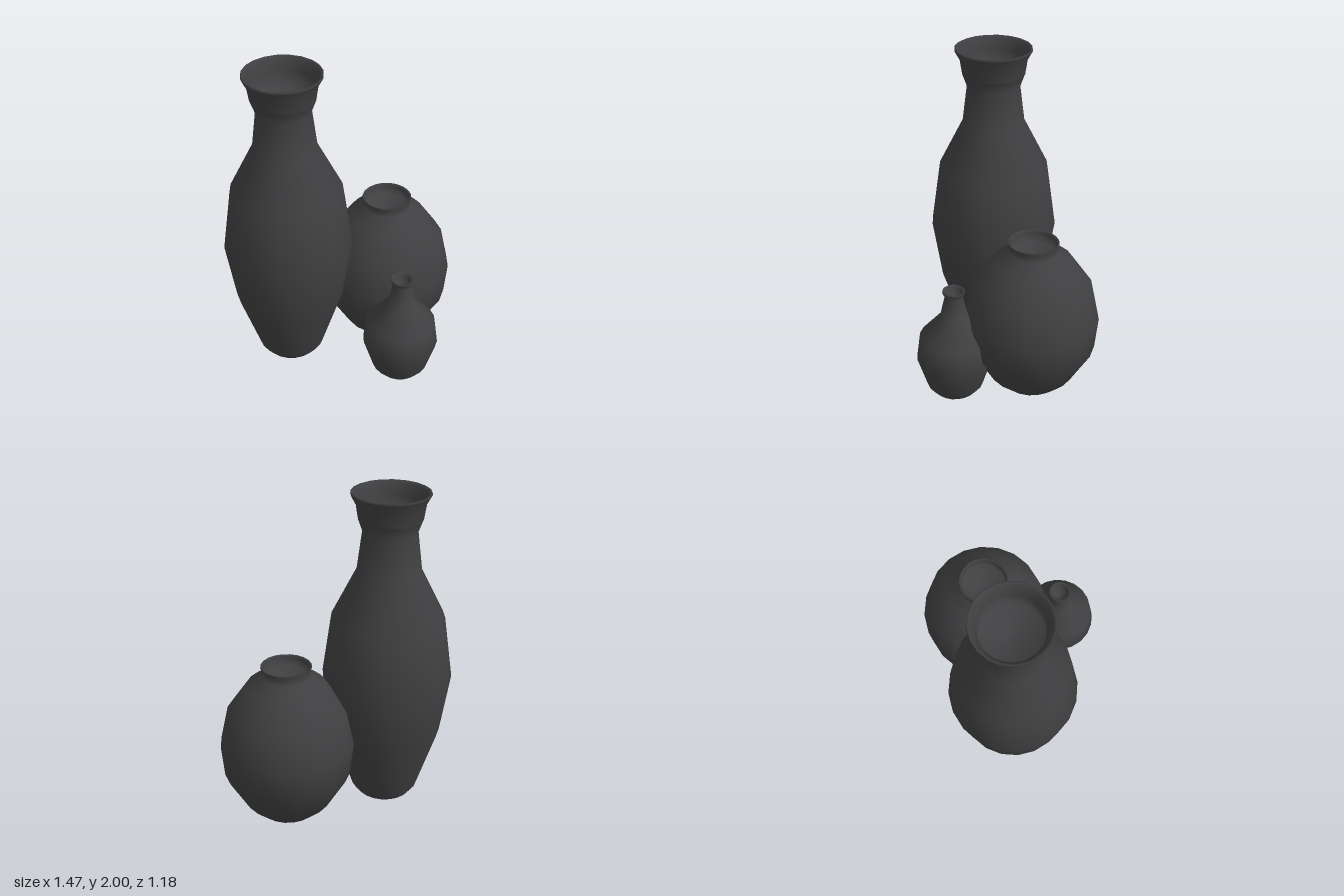
import * as THREE from 'three';

const SIDES = 20;
const material = new THREE.MeshStandardMaterial({ color: 0x404042, side: THREE.DoubleSide });

// Thin-walled vase, open underneath: outer wall from foot to lip, then the cup
// inside the mouth. Rows are [radius, height]; a repeated row makes a crisp edge.
function makeVase(name, x, z, outer, cup) {
  const profile = [...outer, ...cup].map(([r, y]) => new THREE.Vector2(r, y));
  const vase = new THREE.Mesh(new THREE.LatheGeometry(profile, SIDES), material);
  vase.name = name;
  vase.position.set(x, 0, z);
  return vase;
}

export function createModel() {
  const group = new THREE.Group();
  group.name = 'vaseSet';

  // Tall vase with a flared collar and rolled lip
  group.add(makeVase('tallVase', -0.335, -0.19, [
    [0.168, 0], [0.208, 0.05], [0.34, 0.45], [0.4, 0.83], [0.345, 1.22],
    [0.195, 1.52], [0.165, 1.76], [0.19, 1.83], [0.19, 1.83],
    [0.194, 1.84], [0.208, 1.93], [0.238, 1.985], [0.238, 1.997],
  ], [
    [0.232, 2.0], [0.218, 1.985], [0.19, 1.92], [0.18, 1.82], [0, 1.79],
  ]));

  // Round vase with a short neck
  group.add(makeVase('roundVase', 0.324, -0.11, [
    [0.175, 0], [0.265, 0.08], [0.39, 0.29], [0.41, 0.49], [0.365, 0.7],
    [0.24, 0.88], [0.15, 0.94], [0.15, 0.985], [0.155, 1.0],
  ], [
    [0.15, 1.005], [0.139, 0.99], [0.137, 0.93], [0, 0.91],
  ]));

  // Small bottle vase with a narrow neck
  group.add(makeVase('smallVase', 0.172, 0.353, [
    [0.132, 0], [0.175, 0.05], [0.235, 0.24], [0.215, 0.39], [0.084, 0.54],
    [0.055, 0.67], [0.069, 0.702], [0.069, 0.711],
  ], [
    [0.064, 0.715], [0.05, 0.7], [0.04, 0.66], [0, 0.645],
  ]));

  return group;
}
